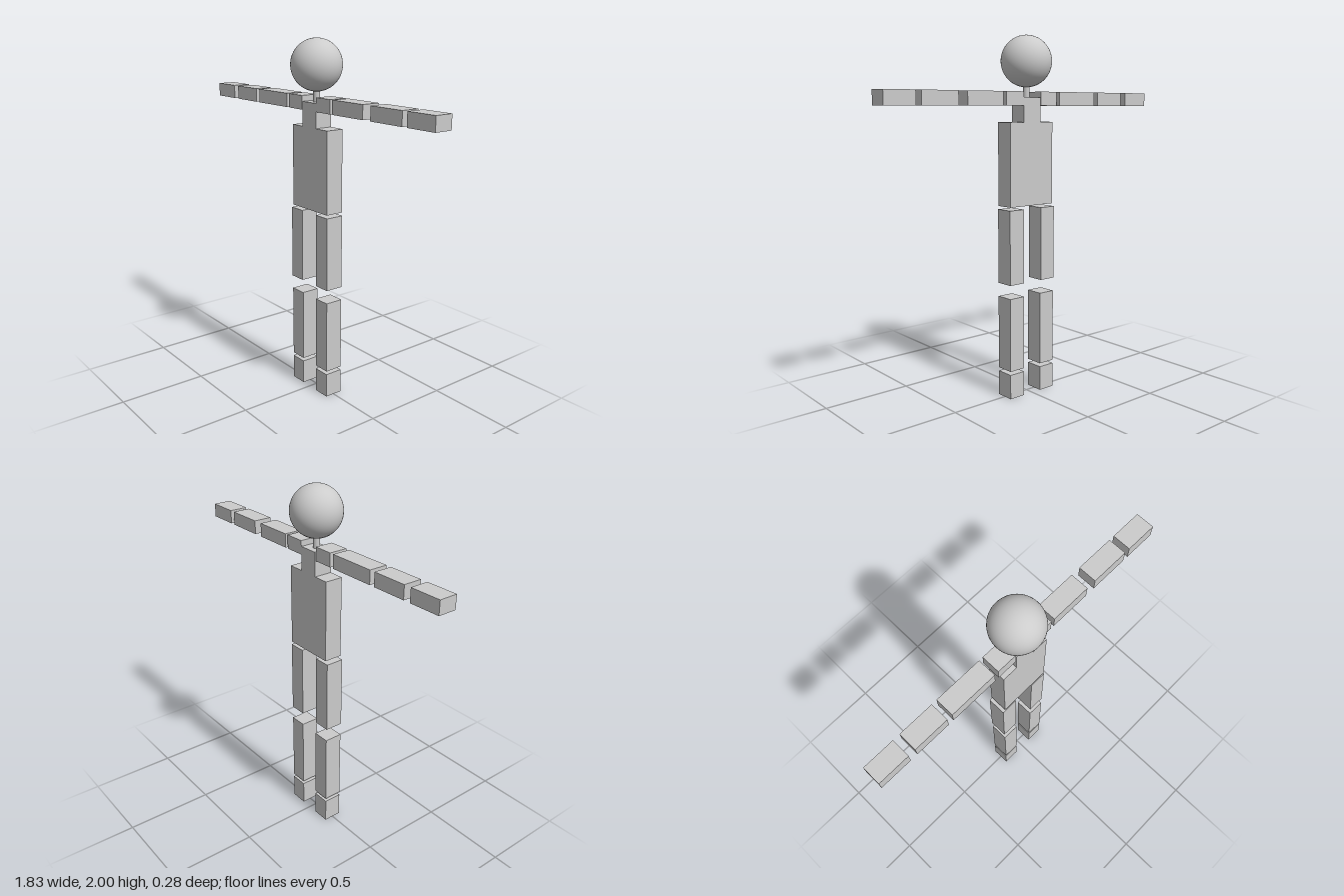
import * as THREE from 'three';

const DEPTH = 0.104;

export function createModel() {
  const group = new THREE.Group();
  const material = new THREE.MeshStandardMaterial({ color: 0xcccccc });

  const add = (name, geometry, x, y) => {
    const mesh = new THREE.Mesh(geometry, material);
    mesh.name = name;
    mesh.position.set(x, y, 0);
    group.add(mesh);
  };

  // Block given by its left/right and bottom/top limits
  const block = (name, x0, x1, y0, y1) =>
    add(name, new THREE.BoxGeometry(x1 - x0, y1 - y0, DEPTH), (x0 + x1) / 2, (y0 + y1) / 2);

  // Head and neck
  add('head', new THREE.SphereGeometry(0.139, 48, 32), 0, 1.861);
  add('neck', new THREE.CylinderGeometry(0.018, 0.018, 0.1, 24), 0, 1.71);

  // Trunk
  block('upperChest', -0.056, 0.06, 1.535, 1.668);
  block('torso', -0.145, 0.156, 1.08, 1.535);

  // Arm segments, slightly different on each side
  const arms = {
    right: [[-0.176, -0.061], [-0.471, -0.199], [-0.699, -0.501], [-0.916, -0.739]],
    left: [[0.061, 0.18], [0.2, 0.431], [0.486, 0.704], [0.735, 0.912]],
  };
  const armParts = ['Shoulder', 'UpperArm', 'Forearm', 'Hand'];
  for (const side in arms) {
    arms[side].forEach(([x0, x1], i) => block(side + armParts[i], x0, x1, 1.623, 1.699));
  }

  // Leg segments: name, bottom, top, right side limits
  const legs = [
    ['Thigh', 0.649, 1.062, -0.16, -0.063],
    ['Shin', 0.159, 0.573, -0.156, -0.058],
    ['Foot', 0, 0.139, -0.156, -0.058],
  ];
  for (const [part, y0, y1, x0, x1] of legs) {
    block('right' + part, x0, x1, y0, y1);
    block('left' + part, 0.061, 0.159, y0, y1);
  }

  return group;
}
